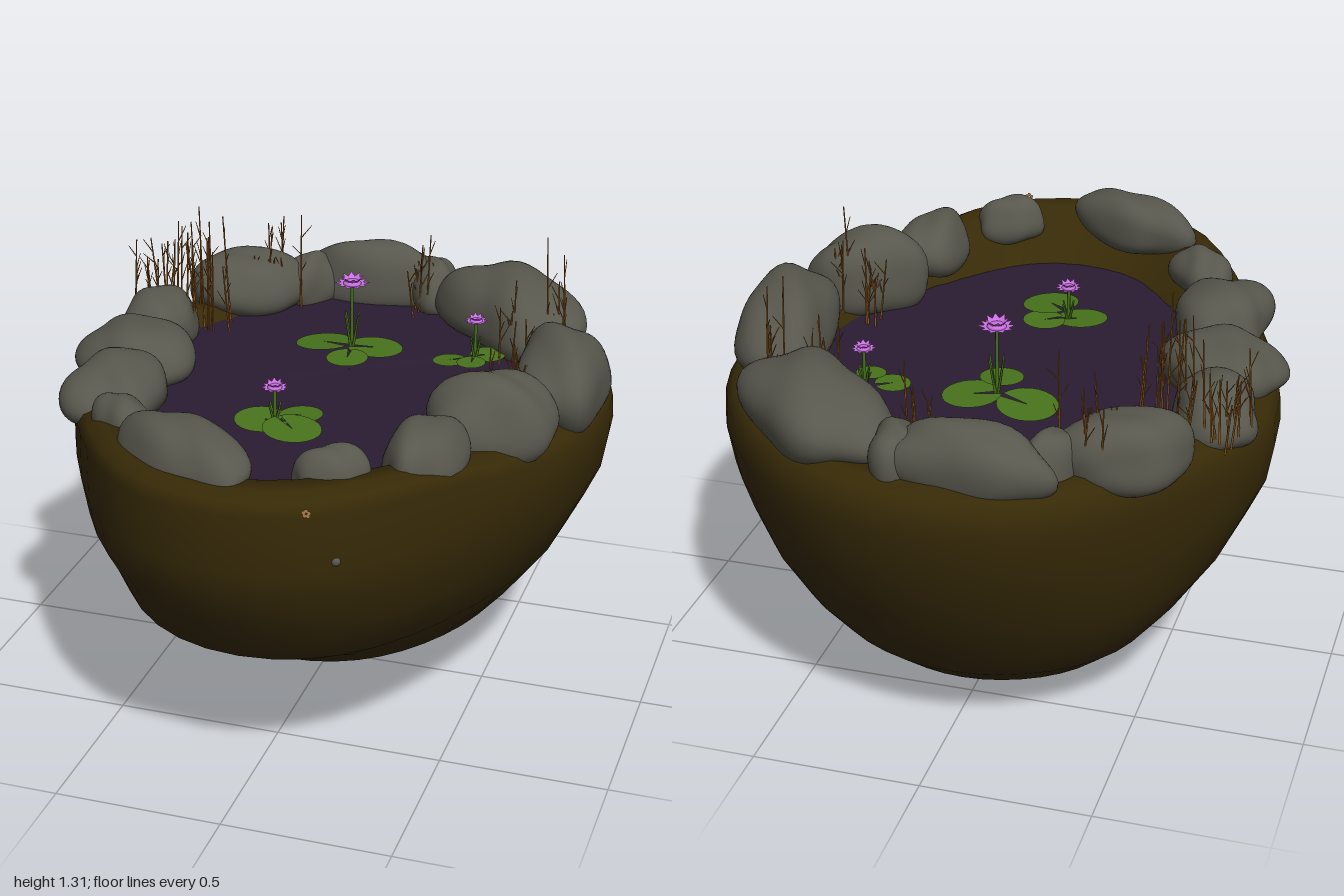
import * as THREE from 'three';
import { mergeVertices, mergeGeometries } from 'three/addons/utils/BufferGeometryUtils.js';

const mat = (name, color, side = THREE.FrontSide) => {
  const m = new THREE.MeshStandardMaterial({ color, side });
  m.name = name;
  return m;
};

let seed = 7;
const rand = () => {
  seed = (seed * 16807) % 2147483647;
  return seed / 2147483647;
};
const spread = (a) => (rand() * 2 - 1) * a;

// Egg outline: half width, back z, front z; pinched along the diagonals near the rim
function egg(a, y, hx, zb, zf, zc = -0.2) {
  const s = Math.sin(a), c = Math.cos(a);
  const high = THREE.MathUtils.smoothstep(y, 0.25, 0.75);
  const pinch = s > 0 ? 0.04 + 0.06 * high : -0.04 + (c < 0 ? 0.16 : 0.08) * high;
  return [hx * c * (1 - pinch * Math.sin(2 * a) ** 2), zc + s * (s > 0 ? zf - zc : zc - zb)];
}

// Surface through stacked egg-shaped rings, starting from the lowest point
function eggLoft(rings, n, lift) {
  const pos = [], idx = [];
  rings.forEach(([y, hx, zb, zf], k) => {
    for (let i = 0; i < n; i++) {
      const [x, z] = egg((i / n) * Math.PI * 2, y, hx, zb, zf);
      pos.push(x, y + lift(x, z, k), z);
    }
  });
  for (let k = 0; k < rings.length - 1; k++) {
    for (let i = 0; i < n; i++) {
      const j = (i + 1) % n;
      const a = k * n + i, b = k * n + j, c = a + n, d = b + n;
      idx.push(a, c, b, b, c, d);
    }
  }
  const g = new THREE.BufferGeometry();
  g.setAttribute('position', new THREE.Float32BufferAttribute(pos, 3));
  g.setIndex(idx);
  g.computeVertexNormals();
  return g;
}

// Boulder: a rounded lump with smooth dents, narrower towards the top
function boulderGeometry(rx, ry, rz, s) {
  let g = new THREE.IcosahedronGeometry(1, 7);
  g.deleteAttribute('uv');
  g.deleteAttribute('normal');
  g = mergeVertices(g, 1e-4);
  const p = g.attributes.position, v = new THREE.Vector3();
  for (let i = 0; i < p.count; i++) {
    v.fromBufferAttribute(p, i);
    const box = Math.pow(Math.abs(v.x) ** 3 + Math.abs(v.z) ** 3 + Math.abs(v.y) ** 3, -1 / 3);
    const dent = 0.08 * Math.sin(2.6 * v.x + s * 1.7) * Math.cos(2.3 * v.z + s)
      + 0.05 * Math.sin(3.4 * v.y + 2.2 * v.z + s * 2.3) + 0.05 * Math.sin(5 * v.x - 4 * v.z + s);
    const taper = 1 - 0.12 * v.y;
    v.multiplyScalar(0.7 + 0.3 * box + dent);
    p.setXYZ(i, v.x * rx * taper, v.y * ry, v.z * rz * taper);
  }
  g.computeVertexNormals();
  return g;
}

// Thin straight rod between two points
function rod(a, b, r0, r1) {
  const d = b.clone().sub(a);
  const g = new THREE.CylinderGeometry(r1, r0, d.length(), 5);
  g.applyQuaternion(new THREE.Quaternion().setFromUnitVectors(new THREE.Vector3(0, 1, 0), d.normalize()));
  return g.translate((a.x + b.x) / 2, (a.y + b.y) / 2, (a.z + b.z) / 2);
}

export function createModel() {
  seed = 7;
  const root = new THREE.Group();
  const earth = mat('earth brown', 0x372a07, THREE.DoubleSide);
  const stone = mat('stone grey', 0x58574d);
  const waterMat = mat('dark violet water', 0x2b1c32, THREE.DoubleSide);
  const leaf = mat('leaf green', 0x48731c, THREE.DoubleSide);
  const bloom = mat('lily pink', 0xca6fe2, THREE.DoubleSide);
  const reed = mat('dry reed brown', 0x985c1c);
  const tan = mat('blossom tan', 0xb5854c, THREE.DoubleSide);
  const add = (name, geo, m, parent = root) => {
    const mesh = new THREE.Mesh(geo, m);
    mesh.name = name;
    parent.add(mesh);
    return mesh;
  };

  // Earth bowl with a higher bank at the front
  const rings = [
    [0, 0.001, -0.201, -0.199], [0.012, 0.14, -0.35, -0.06], [0.05, 0.28, -0.5, 0.07], [0.11, 0.4, -0.6, 0.23],
    [0.2, 0.5, -0.71, 0.4], [0.31, 0.59, -0.8, 0.57], [0.45, 0.69, -0.88, 0.83], [0.58, 0.755, -0.94, 0.9],
    [0.68, 0.8, -0.97, 0.97], [0.8, 0.82, -1, 1], [0.87, 0.815, -0.99, 1], [0.905, 0.795, -0.965, 0.985],
    [0.925, 0.75, -0.93, 0.95], [0.925, 0.66, -0.87, 0.88], [0.84, 0.53, -0.77, 0.63],
  ];
  add('earthBowl', eggLoft(rings, 44, (x, z, k) => {
    const onRim = k > 9 && k < 14 ? 1 : 0;
    return onRim * 0.1 * THREE.MathUtils.smoothstep(z, 0.1, 0.85);
  }), earth);

  // Rippled water surface
  const waterRings = [1, 0.8, 0.6, 0.4, 0.2, 0.003].map((q) => [0.892, 0.62 * q, -0.2 - 0.65 * q, -0.2 + 0.94 * q]);
  add('water', eggLoft(waterRings, 44, (x, z) => 0.004 * Math.sin(9 * x + 4 * z) * Math.cos(11 * z)), waterMat);

  // Ring of boulders: x, z, half length, half width, turn, top height
  const stones = [
    [0.4, -0.65, 0.3, 0.175, -0.75, 1.1], [0.67, -0.16, 0.145, 0.26, 0.1, 1.11],
    [0.56, 0.24, 0.195, 0.135, 0.55, 1.13], [0.44, 0.51, 0.11, 0.165, -0.25, 1.09],
    [0.245, 0.735, 0.11, 0.07, 0.5, 1.085], [-0.15, 0.79, 0.22, 0.105, -0.45, 1.13],
    [-0.44, 0.54, 0.12, 0.075, -0.8, 1.06], [-0.56, 0.3, 0.145, 0.185, 0.15, 1.06],
    [-0.635, -0.02, 0.18, 0.165, -0.3, 1.045], [-0.665, -0.3, 0.125, 0.165, 0.2, 1.035],
    [-0.485, -0.64, 0.185, 0.14, 0.75, 1.07], [-0.1, -0.845, 0.245, 0.1, 0, 1.08],
    [-0.3, -0.755, 0.07, 0.11, -0.6, 1.04], [0.1, -0.83, 0.075, 0.11, 0.4, 1.05],
  ];
  const boulders = new THREE.Group();
  boulders.name = 'boulders';
  root.add(boulders);
  stones.forEach(([x, z, rx, rz, turn, top], i) => {
    const base = 0.85 + 0.085 * THREE.MathUtils.smoothstep(z, 0.15, 0.8);
    const b = add('boulder', boulderGeometry(rx, (top - base) / 2, rz, i + 1), stone, boulders);
    b.position.set(x, (top + base) / 2, z);
    b.rotation.y = turn;
  });

  // Water lilies: flower x, y, z, radius, then pads as x, z, radius
  const lilies = [
    [-0.03, 1.12, -0.33, 0.057, [[-0.13, -0.36, 0.09], [0.04, -0.35, 0.087], [-0.015, -0.23, 0.065]]],
    [0.355, 1.025, -0.38, 0.04, [[0.285, -0.335, 0.053], [0.39, -0.4, 0.055], [0.36, -0.31, 0.045]]],
    [-0.085, 1.005, 0.25, 0.044, [[-0.125, 0.26, 0.08], [-0.02, 0.205, 0.065], [-0.01, 0.32, 0.087]]],
  ];
  lilies.forEach(([x, y, z, r, pads]) => {
    const lily = new THREE.Group();
    lily.name = 'waterLily';
    root.add(lily);
    const center = new THREE.Vector3(x, 0.89, z);
    pads.forEach(([px, pz, pr], i) => {
      const facing = Math.atan2(-(z - pz), x - px);
      const g = new THREE.CircleGeometry(pr, 24, facing + 0.1, Math.PI * 2 - 0.2).rotateX(-Math.PI / 2);
      const pad = add('lilyPad', g, leaf, lily);
      pad.position.set(px, 0.908 + i * 0.006, pz);
      pad.rotation.set(spread(0.08), 0, spread(0.08));
    });
    // Main stem and shorter shoots, all under the flower
    const stems = [rod(center, new THREE.Vector3(x, y - 0.006, z), 0.006, 0.005)];
    for (let i = 0; i < 4; i++) {
      const a = i * 1.6 + 0.5;
      const tip = new THREE.Vector3(x + Math.cos(a) * r * 0.5, 0.89 + (y - 0.89) * 0.6, z + Math.sin(a) * r * 0.5);
      stems.push(rod(center, tip, 0.005, 0.003));
    }
    add('lilyStems', mergeGeometries(stems), leaf, lily);
    // Flat diamond petals in two tiers around a low heart
    const petals = [];
    for (let tier = 0; tier < 2; tier++) {
      const n = 10 - tier * 2, len = r * (1 - tier * 0.15);
      for (let i = 0; i < n; i++) {
        petals.push(new THREE.CircleGeometry(1, 4).scale(r * 0.26, len / 2, 1).translate(0, len / 2, 0)
          .rotateX(-1.4 + tier * 0.55).rotateY(((i + tier * 0.5) / n) * Math.PI * 2).translate(x, y, z));
      }
    }
    add('lilyPetals', mergeGeometries(petals), bloom, lily);
    const heart = new THREE.SphereGeometry(r * 0.5, 14, 8).scale(1, 0.4, 1).translate(x, y + r * 0.12, z);
    add('lilyHeart', heart, bloom, lily);
  });

  // Reed clumps: x, z, spread, highest tip, count
  const clumps = [
    [-0.7, -0.46, 0.09, 1.22, 12], [-0.54, -0.42, 0.09, 1.31, 13], [-0.37, -0.7, 0.09, 1.22, 8],
    [0.06, -0.74, 0.07, 1.17, 7], [0.5, 0.1, 0.05, 1.14, 6], [0.6, 0.08, 0.04, 1.25, 4],
    [0.48, -0.43, 0.05, 1.15, 5], [0.6, -0.48, 0.05, 1.28, 4],
  ];
  clumps.forEach(([x, z, w, top, n]) => {
    const parts = [];
    for (let i = 0; i < n; i++) {
      const px = x + spread(w);
      const a = new THREE.Vector3(px, Math.abs(px) > 0.6 ? 0.93 : 0.89, z + spread(w));
      const h = (top - a.y) * (i === 0 ? 1 : 0.45 + 0.45 * rand());
      const b = a.clone().add(new THREE.Vector3(spread(0.02), h, spread(0.02)));
      parts.push(rod(a, b, 0.0035, 0.002));
      for (let k = 0; k < 3; k++) {
        const from = a.clone().lerp(b, 0.4 + k * 0.18);
        const tip = from.clone().add(new THREE.Vector3(spread(0.03), 0.035 + 0.02 * rand(), spread(0.03)));
        parts.push(rod(from, tip, 0.002, 0.001));
      }
    }
    add('reeds', mergeGeometries(parts), reed);
  });

  // Small blossom and pebble on the front bank
  const blossom = [];
  for (let i = 0; i < 5; i++) {
    blossom.push(new THREE.CircleGeometry(0.006, 8).translate(0, 0.008, 0).rotateZ((i / 5) * Math.PI * 2));
  }
  add('bankBlossom', mergeGeometries(blossom), tan).position.set(0.25, 1.0, 0.975);
  add('bankPebble', new THREE.SphereGeometry(0.014, 12, 8), stone).position.set(0.305, 0.83, 0.895);

  return root;
}
